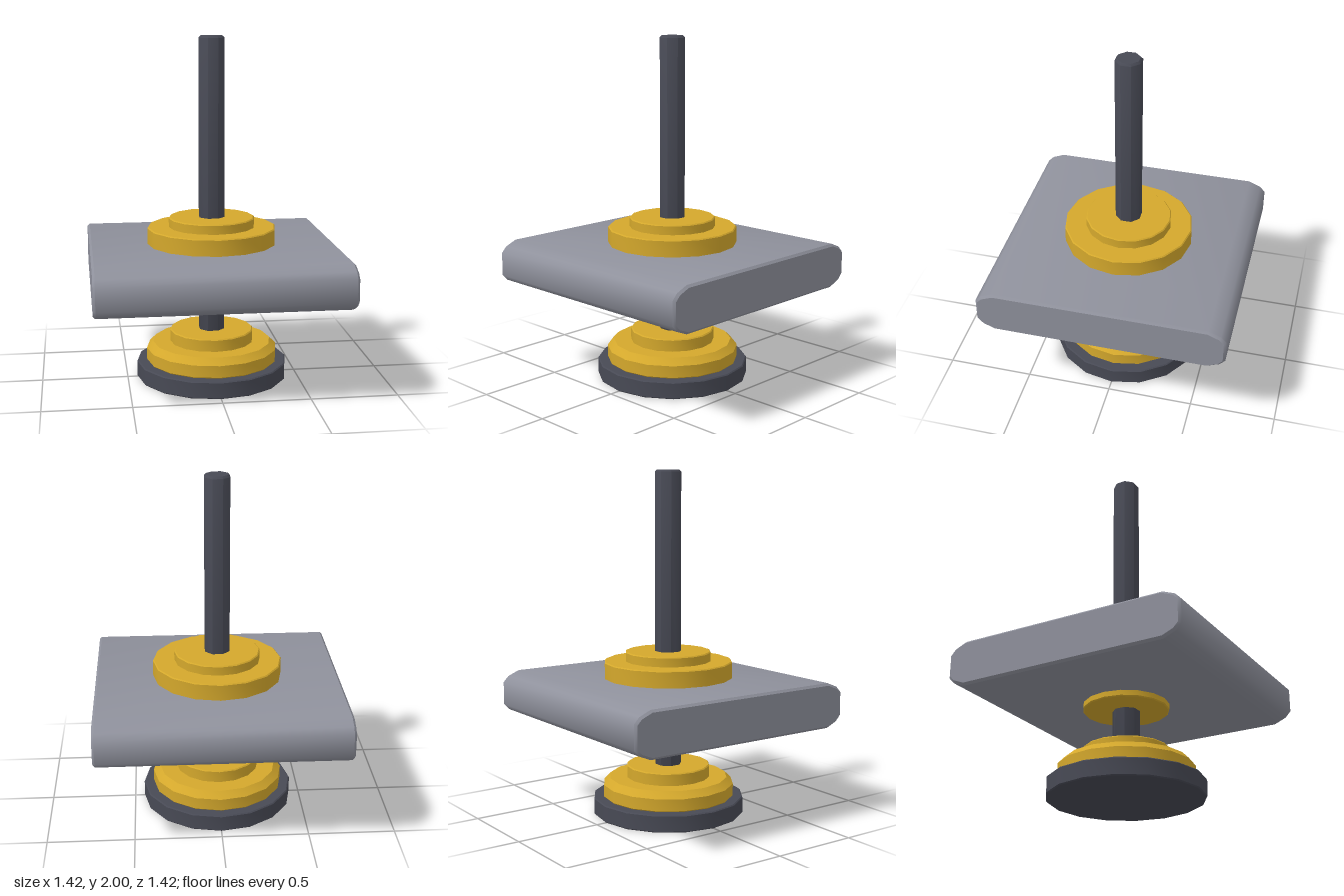
import * as THREE from 'three';
import { toCreasedNormals } from 'three/addons/utils/BufferGeometryUtils.js';

const gold = new THREE.MeshStandardMaterial({ color: 0xd4a82c });
const dark = new THREE.MeshStandardMaterial({ color: 0x484a55 });
const grey = new THREE.MeshStandardMaterial({ color: 0x8f919c });

export function createModel() {
  const model = new THREE.Group();

  function add(name, geometry, material, crease) {
    const mesh = new THREE.Mesh(toCreasedNormals(geometry, crease), material);
    mesh.name = name;
    model.add(mesh);
    return mesh;
  }

  // Solid faceted disc from y0 to y1, with separate bottom and top chamfers
  function disc(name, material, radius, y0, y1, top = 0.006, bottom = 0.006, sides = 16) {
    const profile = [
      [0, y0], [radius - bottom, y0], [radius, y0 + bottom],
      [radius, y1 - top], [radius - top, y1], [0, y1],
    ].map(([r, y]) => new THREE.Vector2(r, y));
    const start = sides === 8 ? Math.PI / 8 : 0;
    return add(name, new THREE.LatheGeometry(profile, sides, start), material, sides === 8 ? 0.8 : 0.5);
  }

  // Foot and lower fittings
  disc('footPad', dark, 0.443, 0, 0.1);
  disc('lowerFlange', gold, 0.385, 0.1, 0.213, 0.038);
  disc('lowerCollar', gold, 0.245, 0.205, 0.285);

  // Octagonal rod
  disc('rod', dark, 0.077, 0.09, 2, 0.012, 0.006, 8);

  // Fittings on both faces of the plate
  disc('plateUnderCollar', gold, 0.245, 0.51, 0.56);
  disc('upperFlange', gold, 0.375, 0.795, 0.902);
  disc('upperCollar', gold, 0.25, 0.89, 0.958);

  // Plate with rounded front and back edges, extruded along x
  const quarter = [[0.712, 0.067], [0.68, 0.101], [0.61, 0.13]];
  const mirrored = [...quarter].reverse();
  const outline = [
    ...quarter,
    ...mirrored.map(([z, y]) => [-z, y]),
    ...quarter.map(([z, y]) => [-z, -y]),
    ...mirrored.map(([z, y]) => [z, -y]),
  ].map(([z, y]) => new THREE.Vector2(z, y));
  const bevel = 0.013;
  const plate = new THREE.ExtrudeGeometry(new THREE.Shape(outline), {
    depth: 1.42 - 2 * bevel, bevelEnabled: true, bevelSegments: 1,
    bevelThickness: bevel, bevelSize: bevel, bevelOffset: -bevel,
  });
  plate.translate(0, 0, -0.71 + bevel).rotateY(Math.PI / 2).translate(0, 0.675, 0);
  add('plate', plate, grey, 0.76);

  return model;
}
